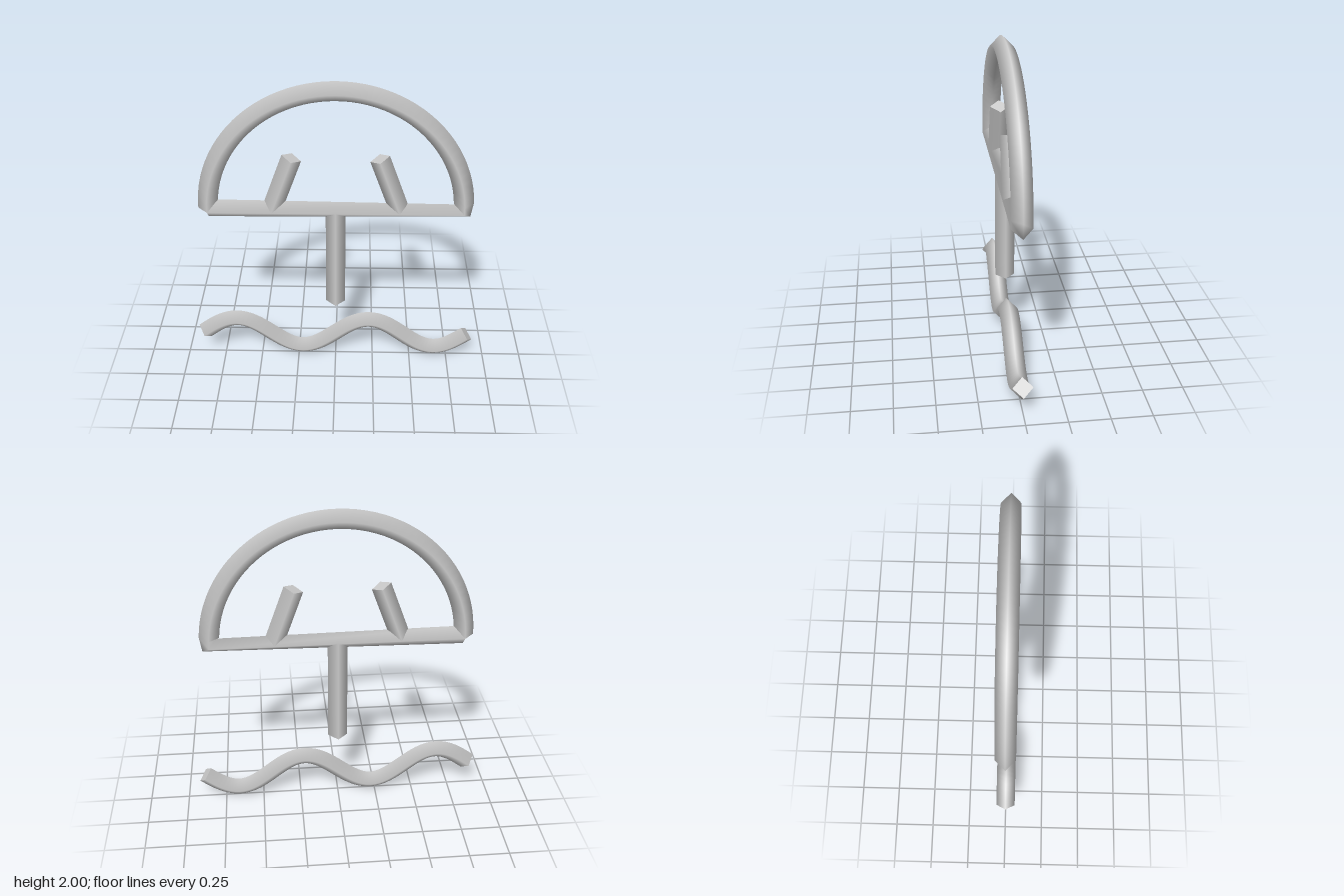
import * as THREE from 'three';

const R = 0.062; // rod radius
const BAR_Y = 1.148; // height of the crossbar

// Smooth four-sided rod swept along points in the XY plane, with flat end caps
function rod(points) {
  const pos = [], nor = [], idx = [];
  const last = points.length - 1;
  const dir = (i) => points[i + 1].clone().sub(points[i]).normalize();
  const tangents = points.map((p, i) =>
    i === 0 ? dir(0) : i === last ? dir(last - 1) : dir(i - 1).add(dir(i)).normalize());

  const ring = (i, capNormal) => {
    const start = pos.length / 3, p = points[i], t = tangents[i];
    for (let j = 0; j < 4; j++) {
      const c = Math.cos(j * Math.PI / 2), s = Math.sin(j * Math.PI / 2);
      const n = [-t.y * c, t.x * c, s];
      pos.push(p.x + R * n[0], p.y + R * n[1], R * n[2]);
      nor.push(...(capNormal || n));
    }
    return start;
  };

  // Sides
  for (let i = 0; i <= last; i++) {
    const b = ring(i);
    if (i === 0) continue;
    for (let j = 0; j < 4; j++) {
      const k = (j + 1) % 4;
      idx.push(b - 4 + j, b - 4 + k, b + j, b - 4 + k, b + k, b + j);
    }
  }
  // Caps
  const t0 = tangents[0], t1 = tangents[last];
  const s = ring(0, [-t0.x, -t0.y, 0]);
  idx.push(s, s + 2, s + 1, s, s + 3, s + 2);
  const e = ring(last, [t1.x, t1.y, 0]);
  idx.push(e, e + 1, e + 2, e, e + 2, e + 3);

  const g = new THREE.BufferGeometry();
  g.setAttribute('position', new THREE.Float32BufferAttribute(pos, 3));
  g.setAttribute('normal', new THREE.Float32BufferAttribute(nor, 3));
  g.setIndex(idx);
  return g;
}

export function createModel() {
  const group = new THREE.Group();
  const grey = new THREE.MeshStandardMaterial({ color: 0xcccccc });
  grey.name = 'light grey';
  const v = (x, y) => new THREE.Vector2(x, y);
  const add = (name, points) => {
    const mesh = new THREE.Mesh(rod(points), grey);
    mesh.name = name;
    group.add(mesh);
  };

  // Half-circle arch, turning at its right-hand corner into the crossbar
  const archRadius = 0.79;
  const arch = [];
  for (let i = 0; i <= 48; i++) {
    const a = Math.PI * (1 - i / 48);
    arch.push(v(archRadius * Math.cos(a), BAR_Y + archRadius * Math.sin(a)));
  }
  arch.push(v(-archRadius, BAR_Y));
  add('archAndCrossbar', arch);

  // Stem below the crossbar
  add('stem', [v(0, 0.443), v(0, BAR_Y)]);

  // Leaning prongs above the crossbar
  for (const [name, side] of [['rightProng', -1], ['leftProng', 1]])
    add(name, [v(side * 0.394, BAR_Y), v(side * 0.266, 1.502)]);

  // Two-period wave at the base
  const wave = [];
  for (let i = 0; i <= 64; i++) {
    const u = i / 64;
    wave.push(v(-0.88 + 1.76 * u, 0.175 + 0.111 * Math.sin(u * Math.PI * 4)));
  }
  add('wave', wave);

  return group;
}
